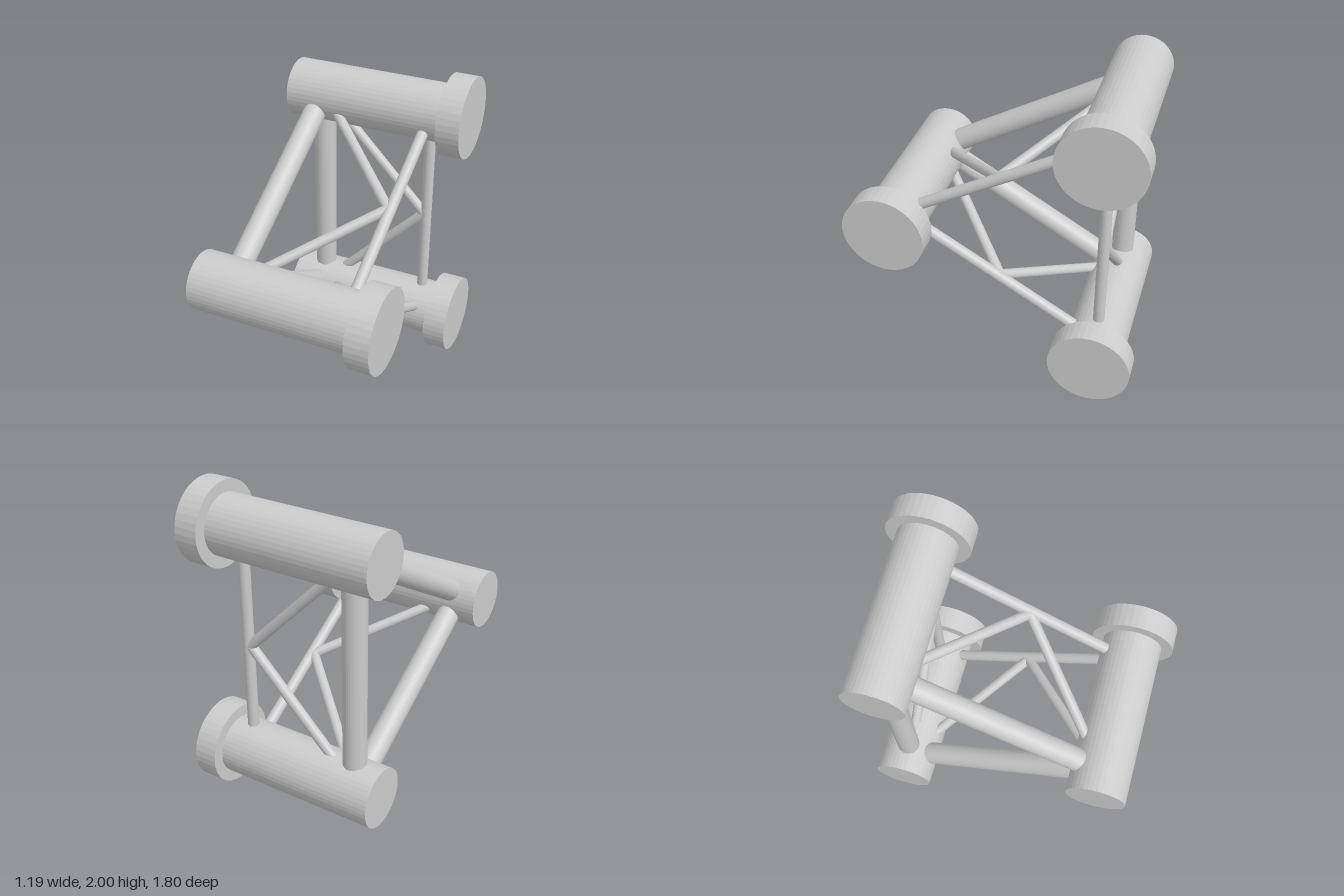
import * as THREE from 'three';

const material = new THREE.MeshStandardMaterial({ color: 0xcccccc, flatShading: true });

// Cylinder running between two points
function rod(name, a, b, radius, sides = 32) {
  const dir = b.clone().sub(a);
  const mesh = new THREE.Mesh(new THREE.CylinderGeometry(radius, radius, dir.length(), sides), material);
  mesh.name = name;
  mesh.position.copy(a).add(b).multiplyScalar(0.5);
  mesh.quaternion.setFromUnitVectors(new THREE.Vector3(0, 1, 0), dir.normalize());
  return mesh;
}

export function createModel() {
  const group = new THREE.Group();
  group.name = 'triangularTruss';

  // Axes of the three tubes, as [y, z]
  const axes = [[1.743, -0.642], [0.257, -0.642], [1.0, 0.643]];
  const at = (x, [y, z]) => new THREE.Vector3(x, y, z);

  // Main tubes with their end flanges
  for (const p of axes) {
    group.add(rod('mainTube', at(-0.595, p), at(0.45, p), 0.185, 40));
    group.add(rod('endFlange', at(0.443, p), at(0.592, p), 0.257, 40));
  }

  // Each side of the triangle: thick strut, thin strut and two diagonals
  for (let i = 0; i < 3; i++) {
    const a = axes[i], b = axes[(i + 1) % 3];
    const middle = at(0.315, [(a[0] + b[0]) / 2, (a[1] + b[1]) / 2]);
    group.add(rod('thickStrut', at(-0.41, a), at(-0.41, b), 0.072));
    group.add(rod('thinStrut', at(0.33, a), at(0.33, b), 0.035));
    for (const end of [a, b]) group.add(rod('diagonalBrace', at(-0.415, end), middle, 0.032));
  }
  return group;
}
